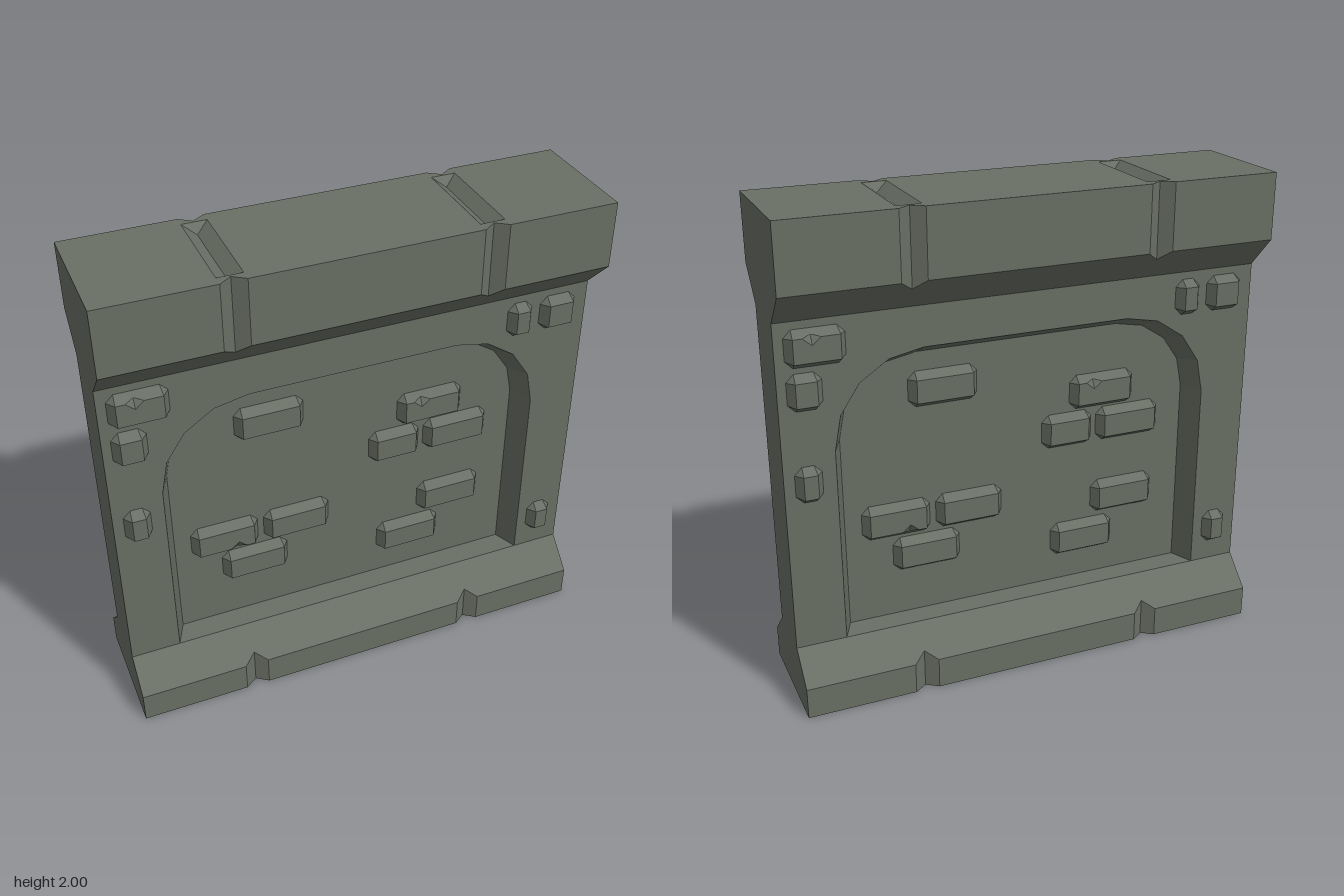
import * as THREE from 'three';

const stone = new THREE.MeshStandardMaterial({ color: 0x696f64 });
stone.name = 'grey green stone';

// Flat-shaded geometry from a list of polygons, each drawn as a fan around its first corner
function fromPolygons(polygons) {
  const pos = [];
  for (const p of polygons)
    for (let i = 1; i < p.length - 1; i++) pos.push(...p[0], ...p[i], ...p[i + 1]);
  const g = new THREE.BufferGeometry();
  g.setAttribute('position', new THREE.Float32BufferAttribute(pos, 3));
  g.computeVertexNormals();
  return g;
}

function addMesh(parent, name, geometry) {
  const m = new THREE.Mesh(geometry, stone);
  m.name = name;
  parent.add(m);
  return m;
}

// Beam along x lofted from a half profile of [z, y]; V grooves at x = -0.5 and 0.5
const GROOVE = 0.215, PIT = 0.17;
function beam(half, topY) {
  const ring = [...half, ...half.map(([z, y]) => [-z, y]).reverse()];
  const section = (x) => ring.map(([z, y]) => {
    if (Math.abs(x) !== 0.5) return [x, y, z];
    const inPit = y === topY && Math.abs(z) <= PIT;
    return [x, inPit ? y - 0.035 : y, THREE.MathUtils.clamp(z, -GROOVE, GROOVE)];
  });
  const dist = (p, q) => Math.hypot(p[0] - q[0], p[1] - q[1], p[2] - q[2]);
  const rows = [-1, -0.55, -0.5, -0.45, 0.45, 0.5, 0.55, 1].map(section);
  const polys = [rows[0], [...rows[7]].reverse()];
  for (let r = 0; r < 7; r++) {
    for (let i = 0; i < ring.length; i++) {
      const j = (i + 1) % ring.length;
      const a = rows[r][i], b = rows[r + 1][i], c = rows[r + 1][j], d = rows[r][j];
      // the longer diagonal keeps the groove creases clean
      if (dist(a, c) > dist(b, d)) polys.push([a, b, c], [a, c, d]);
      else polys.push([a, b, d], [b, c, d]);
    }
  }
  return fromPolygons(polys);
}

// Wall face with an arched opening whose sides taper towards the recess floor
const ARCH = { x: 0.43, y: 1.07, r: 0.365 };
function archFrame() {
  const s = new THREE.Shape();
  s.moveTo(-1, 0.25);
  s.lineTo(-0.795, 0.25);
  for (const side of [-1, 1]) {
    for (let i = 0; i <= 4; i++) {
      const t = (side < 0 ? i : 4 - i) * Math.PI / 8;
      s.lineTo(side * (ARCH.x + ARCH.r * Math.cos(t)), ARCH.y + ARCH.r * Math.sin(t));
    }
  }
  s.lineTo(0.795, 0.25);
  s.lineTo(1, 0.25);
  s.lineTo(1, 1.6);
  s.lineTo(-1, 1.6);
  const e = new THREE.ExtrudeGeometry(s, { depth: 0.1, bevelEnabled: false });
  const g = e.index ? e.toNonIndexed() : e;
  const p = g.attributes.position;
  for (let i = 0; i < p.count; i++) {
    const x = p.getX(i), y = p.getY(i);
    if (p.getZ(i) > 0.05 || Math.abs(x) > 0.9 || y > 1.5) continue;
    p.setX(i, Math.sign(x) * (ARCH.x + (Math.abs(x) - ARCH.x) * 0.88));
    if (y > ARCH.y) p.setY(i, ARCH.y + (y - ARCH.y) * 0.86);
  }
  g.computeVertexNormals();
  g.translate(0, 0, 0.025);
  return g;
}

// Raised brick with sloped rim, cut corners and an optional nick in its top edge
function brick(w, h, nick) {
  const d = 0.04, X = w / 2, Y = h / 2, c = 0.03, x = X - 0.026, y = Y - 0.026;
  const tl = [-x, y, d], tr = [x, y, d], bl = [-x, -y, d], br = [x, -y, d];
  const T1 = [-X + c, Y, 0], T2 = [X - c, Y, 0], B1 = [-X + c, -Y, 0], B2 = [X - c, -Y, 0];
  const L1 = [-X, Y - c, 0], L2 = [-X, -Y + c, 0], R1 = [X, Y - c, 0], R2 = [X, -Y + c, 0];
  const polys = [
    [tl, L1, L2, bl], [bl, B1, B2, br], [br, R2, R1, tr],
    [tl, T1, L1], [bl, L2, B1], [br, B2, R2], [tr, R1, T2],
  ];
  if (nick === undefined) {
    polys.push([tl, bl, br, tr], [tr, T2, T1, tl]);
  } else {
    const A = [nick - 0.035, y, d], B = [nick + 0.035, y, d];
    const C = [nick, y - 0.03, d], D = [nick, y + 0.008, d * 0.45];
    polys.push([C, A, tl, bl, br, tr, B], [D, B, tr, T2, T1, tl, A], [A, C, D], [C, B, D]);
  }
  return fromPolygons(polys);
}

// [x, y, width, nick offset, nick on the lower edge]
const FRAME_BRICKS = [
  [-0.848, 1.495, 0.23, -0.018], [-0.897, 1.325, 0.134], [-0.904, 0.952, 0.107],
  [0.7, 1.495, 0.107], [0.868, 1.495, 0.155], [0.893, 0.413, 0.107],
];
const RECESS_BRICKS = [
  [-0.326, 1.23, 0.287], [0.369, 1.11, 0.287, -0.048], [0.214, 0.952, 0.225],
  [0.492, 0.952, 0.287], [-0.538, 0.685, 0.287, 0.048, true], [-0.225, 0.685, 0.287],
  [-0.413, 0.523, 0.287], [0.476, 0.617, 0.287], [0.289, 0.445, 0.287],
];

function wallSide(name) {
  const side = new THREE.Group();
  side.name = name;
  addMesh(side, 'archFrame', archFrame());
  const place = (list, z, label) => list.forEach(([x, y, w, nick, lower]) => {
    const m = addMesh(side, label, brick(w, 0.148, lower ? -nick : nick));
    m.position.set(x, y, z);
    if (lower) m.rotation.z = Math.PI;
  });
  place(FRAME_BRICKS, 0.125, 'frameBrick');
  place(RECESS_BRICKS, 0.025, 'recessBrick');
  return side;
}

export function createModel() {
  const model = new THREE.Group();
  model.name = 'stoneWall';

  // Footing and coping
  addMesh(model, 'base', beam([[0.25, 0], [0.25, 0.13], [GROOVE, 0.164], [0.125, 0.25]]));
  addMesh(model, 'coping', beam([
    [0.125, 1.6], [GROOVE, 1.694], [0.25, 1.73], [0.25, 2], [0.205, 2], [PIT, 2],
  ], 2));

  // Thin core forming the recess floors
  addMesh(model, 'core', new THREE.BoxGeometry(2, 1.35, 0.05)).position.y = 0.925;

  // Both faces match under a half turn
  model.add(wallSide('frontFace'));
  const back = wallSide('backFace');
  back.rotation.y = Math.PI;
  model.add(back);
  return model;
}
